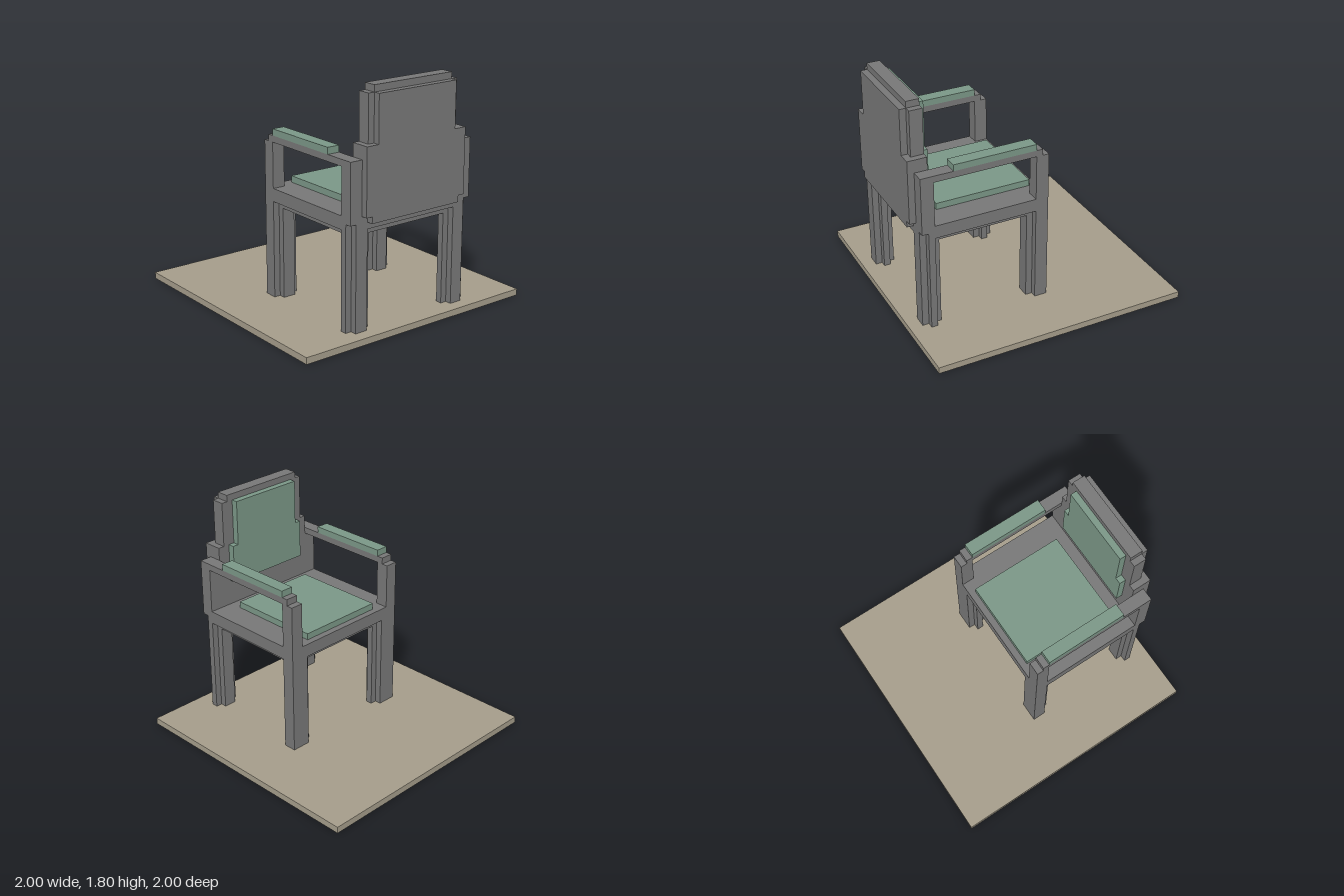
import * as THREE from 'three';

const material = (name, color) => {
  const m = new THREE.MeshStandardMaterial({ color });
  m.name = name;
  return m;
};

export function createModel() {
  const model = new THREE.Group();
  model.name = 'armchairOnBase';
  const frame = material('grey frame', 0x777777);
  const fabric = material('green fabric', 0x7a9686);
  const floor = material('beige floor', 0xa49c8a);

  // A box given by its ranges on x, y and z
  const box = (name, mat, [x0, x1], [y0, y1], [z0, z1], parent = model) => {
    const mesh = new THREE.Mesh(new THREE.BoxGeometry(x1 - x0, y1 - y0, z1 - z0), mat);
    mesh.position.set((x0 + x1) / 2, (y0 + y1) / 2, (z0 + z1) / 2);
    mesh.name = name;
    parent.add(mesh);
  };
  // A box centred on z = 0
  const wide = (name, mat, x, y, halfWidth) => box(name, mat, x, y, [-halfWidth, halfWidth]);

  wide('basePlate', floor, [-1, 1], [0, 0.05], 1);

  // Seat frame: underside panel, stepped rail and top rail
  wide('seatUnderside', frame, [-0.05, 0.85], [0.75, 0.8], 0.5);
  wide('lowerSeatRail', frame, [-0.1, 0.85], [0.8, 0.85], 0.55);
  wide('lowerSeatRailBack', frame, [0.85, 0.9], [0.8, 0.85], 0.5);
  wide('upperSeatRail', frame, [-0.1, 0.9], [0.85, 0.9], 0.55);
  wide('seatCushion', fabric, [-0.05, 0.7], [0.9, 0.95], 0.35);

  // Legs and arms on both sides
  for (const s of [1, -1]) {
    const side = new THREE.Group();
    side.name = s > 0 ? 'frontSideLegsAndArm' : 'rearSideLegsAndArm';
    model.add(side);
    const z = (a, b) => (s > 0 ? [a, b] : [-b, -a]);
    const part = (name, mat, x, y, a, b) => box(name, mat, x, y, z(a, b), side);

    // Cross-shaped legs
    for (const [name, x] of [['frontLeg', -0.1], ['backLeg', 0.75]]) {
      part(name + 'Arms', frame, [x, x + 0.15], [0.05, 0.8], 0.4, 0.5);
      part(name + 'Core', frame, [x + 0.05, x + 0.1], [0.05, 0.8], 0.35, 0.55);
    }
    // Squared outer corner of the front leg
    part('frontLegCorner', frame, [-0.1, -0.05], [0.05, 0.8], 0.5, 0.55);

    // Arm posts, rail and pad
    part('frontArmPost', frame, [-0.1, 0], [0.9, 1.25], 0.45, 0.55);
    part('backArmPost', frame, [0.8, 0.9], [0.9, 1.3], 0.45, 0.55);
    part('armRail', frame, [-0.05, 0.8], [1.25, 1.3], 0.45, 0.55);
    part('armPad', fabric, [0, 0.65], [1.3, 1.35], 0.45, 0.55);
  }

  // Stepped backrest
  wide('backrestLower', frame, [0.8, 0.9], [0.9, 1.4], 0.45);
  wide('backrestUpper', frame, [0.8, 0.9], [1.4, 1.75], 0.4);
  wide('backrestTop', frame, [0.8, 0.9], [1.75, 1.8], 0.35);

  // Panel on the rear of the backrest
  wide('backPanelFoot', frame, [0.9, 0.95], [0.85, 0.9], 0.4);
  wide('backPanelLower', frame, [0.9, 0.95], [0.9, 1.4], 0.45);
  wide('backPanelUpper', frame, [0.9, 0.95], [1.4, 1.75], 0.35);

  // Back cushion
  wide('backCushionLower', fabric, [0.75, 0.8], [1.1, 1.4], 0.35);
  wide('backCushionUpper', fabric, [0.75, 0.8], [1.4, 1.75], 0.3);

  return model;
}
